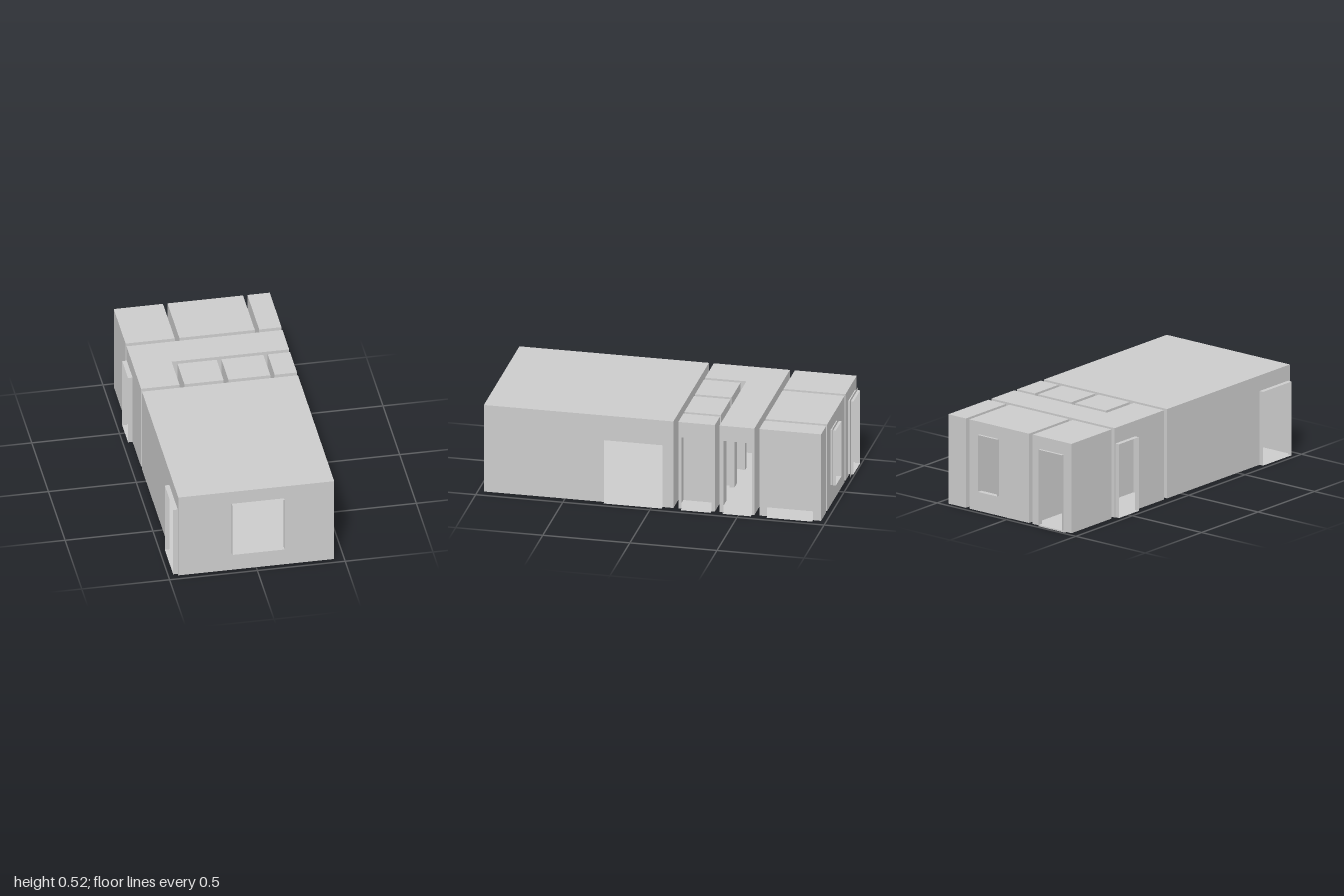
import * as THREE from 'three';

const H = 0.523;      // ceiling height
const DOOR = 0.432;   // door head height

// Room plans as [x, z] corners
const rect = (x0, x1, z0, z1) => [[x0, z0], [x1, z0], [x1, z1], [x0, z1]];
const ROOMS = {
  livingRoom: rect(-0.444, 0.444, -0.122, 0.966),
  hallway: [[-0.444, -0.587], [0.444, -0.587], [0.444, -0.387], [-0.225, -0.387], [-0.225, -0.15], [-0.444, -0.15]],
  smallRoomRight: rect(-0.197, 0.026, -0.36, -0.15),
  smallRoomMiddle: rect(0.053, 0.292, -0.36, -0.15),
  smallRoomLeft: rect(0.317, 0.444, -0.36, -0.15),
  backRoomRight: rect(-0.444, -0.164, -0.97, -0.615),
  backRoomMiddle: rect(-0.138, 0.292, -0.97, -0.615),
  backRoomLeft: rect(0.317, 0.444, -0.97, -0.615),
};

// Openings: axis the wall faces, passage from p to q along it, span a..b across it
const OPENINGS = [
  { name: 'frontWindow', axis: 'z', p: 0.966, q: 1, a: -0.143, b: 0.155, y0: 0.122, y1: 0.455, frame: true },
  { name: 'backWindow', axis: 'z', p: -0.97, q: -1, a: 0.067, b: 0.207, y0: 0.122, y1: 0.455, frame: true },
  { name: 'backDoor', axis: 'z', p: -0.97, q: -1, a: -0.4, b: -0.232, y0: 0.014, y1: 0.455, frame: true },
  { name: 'backRightDoorway', axis: 'z', p: -0.615, q: -0.587, a: -0.4, b: -0.232 },
  { name: 'backMiddleDoorway', axis: 'z', p: -0.615, q: -0.587, a: 0.08, b: 0.27 },
  { name: 'smallRightDoorway', axis: 'z', p: -0.387, q: -0.36, a: -0.193, b: 0.005 },
  { name: 'smallMiddleDoorway', axis: 'z', p: -0.387, q: -0.36, a: 0.075, b: 0.265 },
  { name: 'livingDoorway', axis: 'z', p: -0.15, q: -0.122, a: -0.418, b: -0.255 },
  { name: 'hallSideDoor', axis: 'x', p: -0.444, q: -0.47, a: -0.58, b: -0.405 },
  { name: 'livingSideDoor', axis: 'x', p: -0.444, q: -0.47, a: 0.697, b: 0.95 },
  { name: 'livingOpening', axis: 'x', p: 0.444, q: 0.467, a: -0.06, b: 0.275, sillOnly: true },
  { name: 'smallLeftOpening', axis: 'x', p: 0.444, q: 0.467, a: -0.34, b: -0.168, sillOnly: true },
  { name: 'hallOpening', axis: 'x', p: 0.444, q: 0.467, a: -0.572, b: -0.41, sillOnly: true },
  { name: 'backLeftOpening', axis: 'x', p: 0.444, q: 0.467, a: -0.923, b: -0.66, sillOnly: true },
].map((o) => ({ y0: 0, y1: DOOR, ...o }));

const near = (a, b) => Math.abs(a - b) < 0.002;
const toShape = (pts) => new THREE.Shape(pts.map(([x, y]) => new THREE.Vector2(x, y)));

export function createModel() {
  const model = new THREE.Group();
  const material = new THREE.MeshStandardMaterial({ color: 0xcccccc, side: THREE.DoubleSide });
  const add = (parent, name, geometry) => {
    const mesh = new THREE.Mesh(geometry, material);
    mesh.name = name;
    parent.add(mesh);
    return mesh;
  };
  // Turns (across, up, depth) geometry so that depth lies along the given axis
  const place = (geometry, axis, depth) => {
    if (axis === 'x') geometry.rotateY(-Math.PI / 2).translate(depth, 0, 0);
    else geometry.translate(0, 0, depth);
    return geometry;
  };

  // Wall sheet with door notches and window holes
  const wall = (axis, depth, s, e) => {
    const cuts = OPENINGS.filter((o) => o.axis === axis && (near(o.p, depth) || near(o.q, depth))
      && o.a > s - 0.002 && o.b < e + 0.002).sort((m, n) => m.a - n.a);
    const outline = [[s, 0]];
    for (const o of cuts) {
      if (o.y0 === 0) outline.push([o.a, 0], [o.a, o.y1], [o.b, o.y1], [o.b, 0]);
    }
    outline.push([e, 0], [e, H], [s, H]);
    const shape = toShape(outline);
    for (const o of cuts) {
      if (o.y0 > 0) shape.holes.push(toShape(rect(o.a, o.b, o.y0, o.y1)));
    }
    return place(new THREE.ShapeGeometry(shape), axis, depth);
  };

  // Rooms: floor, ceiling and one sheet per wall
  for (const [name, plan] of Object.entries(ROOMS)) {
    const room = new THREE.Group();
    room.name = name;
    const slab = () => new THREE.ShapeGeometry(toShape(plan)).rotateX(Math.PI / 2);
    add(room, 'floor', slab());
    add(room, 'ceiling', slab().translate(0, H, 0));
    plan.forEach(([x0, z0], i) => {
      const [x1, z1] = plan[(i + 1) % plan.length];
      const geometry = near(z0, z1)
        ? wall('z', z0, Math.min(x0, x1), Math.max(x0, x1))
        : wall('x', x0, Math.min(z0, z1), Math.max(z0, z1));
      add(room, 'wall', geometry);
    });
    model.add(room);
  }

  // Linings of doors and windows
  for (const o of OPENINGS) {
    const group = new THREE.Group();
    group.name = o.name;
    const w = o.b - o.a, h = o.y1 - o.y0, d = Math.abs(o.q - o.p);
    const mid = (o.p + o.q) / 2, cx = (o.a + o.b) / 2, cy = (o.y0 + o.y1) / 2;
    const flat = (y) => new THREE.PlaneGeometry(w, d).rotateX(-Math.PI / 2).translate(cx, y, 0);
    const jamb = (x) => new THREE.PlaneGeometry(d, h).rotateY(Math.PI / 2).translate(x, cy, 0);
    add(group, 'sill', place(flat(o.y0), o.axis, mid));
    if (!o.sillOnly) {
      add(group, 'head', place(flat(o.y1), o.axis, mid));
      for (const x of [o.a, o.b]) add(group, 'jamb', place(jamb(x), o.axis, mid));
    }
    if (o.frame) {
      // Thin flange around the lining
      const t = 0.015;
      const ring = toShape(rect(o.a - t, o.b + t, Math.max(0, o.y0 - t), o.y1 + t));
      ring.holes.push(toShape(rect(o.a, o.b, o.y0, o.y1)));
      add(group, 'frame', place(new THREE.ShapeGeometry(ring), o.axis, mid));
    }
    model.add(group);
  }
  return model;
}
